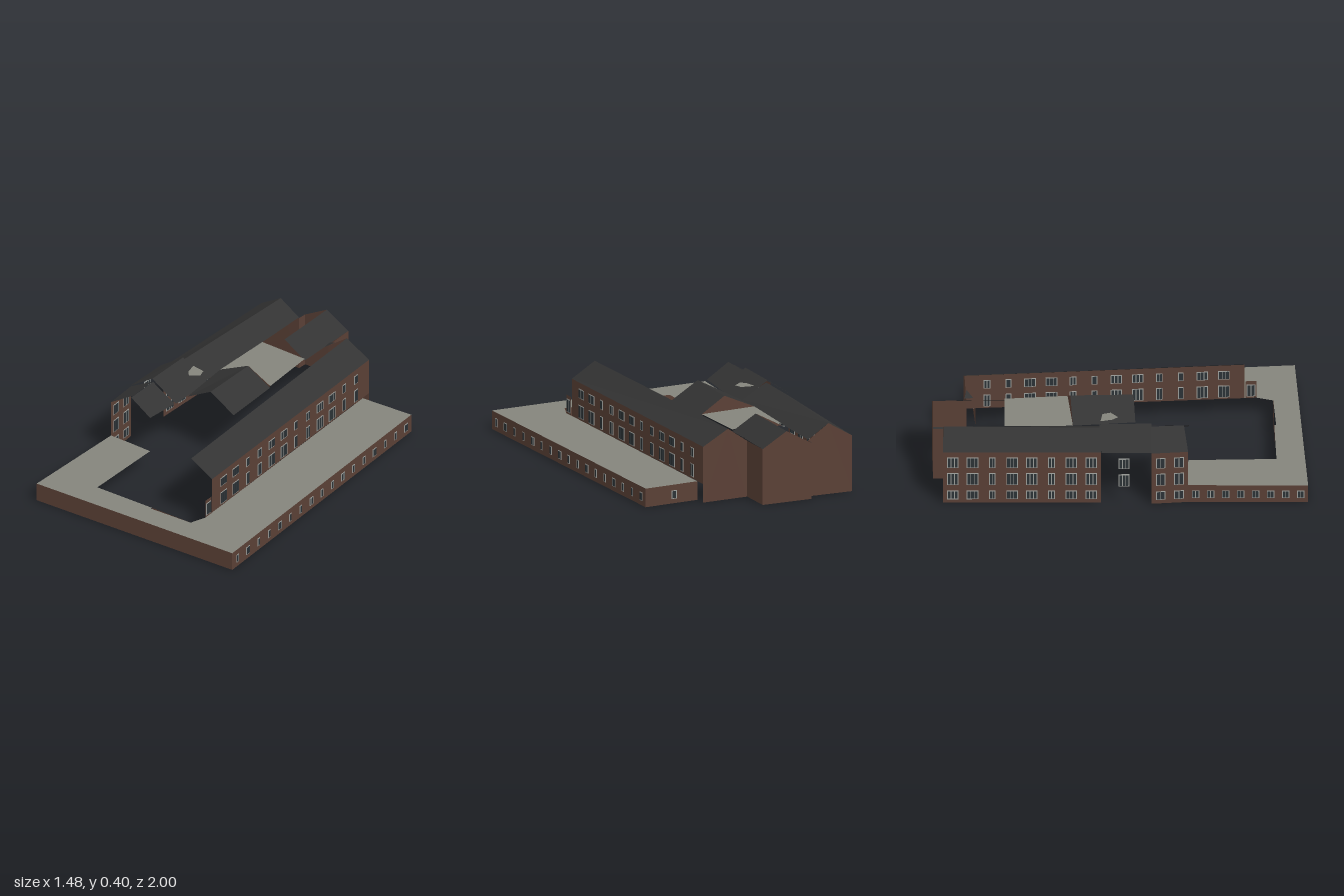
import * as THREE from 'three';

const mat = (name, color) => {
  const m = new THREE.MeshStandardMaterial({ color, side: THREE.DoubleSide });
  m.name = name;
  return m;
};

export function createModel() {
  const brick = mat('brick', 0x5a4036);
  const slate = mat('slate', 0x333333);
  const paving = mat('paving', 0x85857c);
  const glass = mat('glass', 0x2b3236);
  const frame = mat('window frame', 0x9c9e9a);
  const root = new THREE.Group();
  root.name = 'courtyardBuilding';

  // Flat convex face from corners [x, y, z]
  const face = (name, material, ...pts) => {
    const pos = [];
    for (let i = 1; i < pts.length - 1; i++) pos.push(...pts[0], ...pts[i], ...pts[i + 1]);
    const g = new THREE.BufferGeometry();
    g.setAttribute('position', new THREE.Float32BufferAttribute(pos, 3));
    g.computeVertexNormals();
    const m = new THREE.Mesh(g, material);
    m.name = name;
    root.add(m);
  };
  // Level slab outline from [x, z] corners
  const deck = (name, y, pts) => {
    const g = new THREE.ShapeGeometry(new THREE.Shape(pts.map(p => new THREE.Vector2(...p))));
    g.rotateX(Math.PI / 2);
    const m = new THREE.Mesh(g, paving);
    m.position.y = y;
    m.name = name;
    root.add(m);
  };
  // Upright wall between two plan points
  const wall = (name, a, b, y0, y1) => face(name, brick,
    [a[0], y0, a[1]], [b[0], y0, b[1]], [b[0], y1, b[1]], [a[0], y1, a[1]]);
  // Gable end wall with its peak over plan point p
  const gable = (name, a, p, b, y0, eave, peak) => face(name, brick,
    [p[0], peak, p[1]], [a[0], eave, a[1]], [a[0], y0, a[1]], [b[0], y0, b[1]], [b[0], eave, b[1]]);
  // Roof plane from ridge line to eave line
  const slope = (name, r0, r1, e0, e1, ridge = 0.38, eave = 0.3) => face(name, slate,
    [r0[0], ridge, r0[1]], [r1[0], ridge, r1[1]], [e1[0], eave, e1[1]], [e0[0], eave, e0[1]]);

  // Row of thin windows set along a wall: entries are [fraction, width]
  const unit = new THREE.BoxGeometry(1, 1, 1);
  const windows = (name, a, b, list, y, h) => {
    const row = new THREE.Group();
    row.name = name;
    const turn = -Math.atan2(b[1] - a[1], b[0] - a[0]);
    for (const [t, w] of list) {
      const win = new THREE.Group();
      win.name = 'window';
      const plate = (n, m, x, yy, sx, sy, sz) => {
        const p = new THREE.Mesh(unit, m);
        p.name = n;
        p.position.set(x, yy, 0);
        p.scale.set(sx, sy, sz);
        win.add(p);
      };
      plate('windowFrame', frame, 0, 0, w, h, 0.004);
      const panes = w > 0.05 ? 3 : w > 0.03 ? 2 : 1, pw = (w - 0.006) / panes;
      for (let i = 0; i < panes; i++)
        plate('pane', glass, (i - (panes - 1) / 2) * pw, 0, pw - 0.004, h - 0.008, 0.007);
      win.position.set(a[0] + (b[0] - a[0]) * t, y, a[1] + (b[1] - a[1]) * t);
      win.rotation.y = turn;
      row.add(win);
    }
    root.add(row);
  };
  const even = (n, ...widths) =>
    Array.from({ length: n }, (_, i) => [(i + 0.5) / n, widths[i % widths.length]]);

  // Plan points
  const backRight = [0.37, -0.88], frontRight = [0.74, 0.76], frontLeft = [-0.47, 1];
  const eastBack = [0.06, -0.875], eastFront = [0.37, 0.55];
  const westBack = [-0.74, -0.87], westMid = [-0.625, -0.06];
  const bayBack = [-0.64, -0.055], bayFront = [-0.6, 0.2], westFront = [-0.555, 0.385];

  // Podium terrace and its outer walls
  deck('terrace', 0.1, [backRight, frontRight, frontLeft, westFront, [-0.42, 0.365], [-0.3, 0.35],
    [-0.225, 0.8], [0.12, 0.74], [0.12, 0.75], [0.367, 0.7], [0.383, 0.61], eastFront, [0.075, -0.815]]);
  wall('terraceFrontWall', frontLeft, frontRight, 0, 0.1);
  wall('terraceEastWall', frontRight, backRight, 0, 0.1);
  wall('terraceBackWall', backRight, [0.075, -0.815], 0, 0.1);
  wall('terraceWestWall', westFront, frontLeft, 0, 0.1);
  wall('courtWall', [0.12, 0.74], [0.367, 0.7], 0, 0.1);
  windows('terraceEastWindows', frontRight, backRight, even(17, 0.022, 0.034, 0.022), 0.047, 0.045);
  windows('terraceWestWindows', westFront, frontLeft, even(8, 0.04), 0.047, 0.045);
  windows('terraceBackWindows', backRight, [0.075, -0.815], [[0.55, 0.03]], 0.047, 0.045);

  // East wing: single roof slope, long wall and back gable
  const eastRidgeBack = [-0.08, -0.85], eastRidgeFront = [0.24, 0.575];
  wall('eastWingWall', eastBack, eastFront, 0.1, 0.3);
  slope('eastWingRoof', eastRidgeBack, eastRidgeFront, eastBack, eastFront);
  gable('eastWingGable', eastBack, eastRidgeBack, [-0.19, -0.825], 0, 0.3, 0.38);
  face('eastRoofCorner', slate, [-0.195, 0.31, -0.835], [-0.145, 0.335, -0.83], [-0.18, 0.31, -0.79]);
  const cols = [0.06, 0.06, 0.03, 0.036].flatMap((w, i) => [0, 4, 8].map(k => [i + k, w]))
    .map(([i, w]) => [(0.445 + 0.88 - 0.11 + 0.105 - 0.1092 * i) / 1.425, w])
    .map(([t, w]) => [t - 0.0, w]);
  windows('eastLowerWindows', eastBack, eastFront, cols, 0.145, 0.07);
  windows('eastUpperWindows', eastBack, eastFront, cols, 0.242, 0.05);
  wall('eastAnnexWall', [0.372, 0.555], [0.383, 0.61], 0.1, 0.2);
  windows('eastAnnexWindow', [0.372, 0.555], [0.383, 0.61], [[0.5, 0.045]], 0.145, 0.07);

  // Middle back wing: one slope, gables and side wall
  const midRidge0 = [-0.36, -0.975], midRidge1 = [-0.295, -0.61];
  slope('middleWingRoof', midRidge0, midRidge1, [-0.225, -1], [-0.165, -0.63]);
  gable('middleBackGable', [-0.5, -0.955], midRidge0, [-0.225, -1], 0, 0.3, 0.38);
  gable('middleFrontGable', [-0.44, -0.59], midRidge1, [-0.165, -0.63], 0.3, 0.3, 0.38);
  wall('middleWingWall', [-0.225, -1], [-0.19, -0.825], 0, 0.3);
  wall('westReturnWall', [-0.5, -0.955], [-0.495, -0.905], 0, 0.3);
  face('middleRoofStrip', slate, [-0.507, 0.3, -0.953], [-0.497, 0.306, -0.956],
    [-0.488, 0.306, -0.9], [-0.497, 0.3, -0.9]);
  deck('roofTerrace', 0.31, [[-0.44, -0.59], [-0.165, -0.63], [-0.09, -0.31], [-0.39, -0.24]]);

  // West wing: back roof, gable and windowed wall
  const wr0 = [-0.61, -0.885], wr1 = [-0.505, -0.06];
  slope('westRoofOuter', wr0, wr1, westBack, westMid);
  slope('westRoofInner', wr0, wr1, [-0.495, -0.905], [-0.36, -0.07], 0.38, 0.305);
  gable('westGable', westBack, wr0, [-0.495, -0.905], 0, 0.3, 0.38);
  wall('westWall', westBack, westMid, 0, 0.3);
  wall('westFrontWall', bayFront, westFront, 0, 0.3);
  for (const [y, h] of [[0.047, 0.05], [0.142, 0.07], [0.24, 0.06]]) {
    windows('westWindows', westBack, westMid, even(8, 0.06, 0.06, 0.035), y, h);
    windows('westFrontWindows', bayFront, westFront, even(2, 0.05), y, h);
    if (y > 0.1) windows('bayWindows', bayBack, bayFront, [[0.45, 0.055]], y, h);
  }

  // West bay roof, slightly higher
  const br0 = [-0.505, -0.085], br1 = [-0.46, 0.18];
  slope('bayRoofOuter', br0, br1, bayBack, bayFront, 0.398, 0.305);
  slope('bayRoofInner', br0, br1, [-0.35, -0.11], [-0.305, 0.16], 0.398, 0.305);
  deck('roofPatch', 0.375, [[-0.435, -0.09], [-0.36, -0.09], [-0.34, -0.05], [-0.38, -0.005], [-0.41, -0.03]]);

  // West front roof
  slope('frontRoofOuter', [-0.46, 0.18], [-0.425, 0.345], bayFront, westFront);
  slope('frontRoofInner', [-0.455, 0.18], [-0.42, 0.37], [-0.315, 0.16], [-0.3, 0.35]);

  // Cross wing roof facing the court
  const cr0 = [-0.22, -0.277], cr1 = [-0.165, 0.045];
  slope('crossRoofInner', cr0, cr1, [-0.39, -0.24], [-0.31, 0.075], 0.39, 0.31);
  slope('crossRoofOuter', cr0, cr1, [-0.09, -0.31], [-0.02, 0.02], 0.39, 0.3);
  gable('crossBackGable', [-0.39, -0.24], cr0, [-0.09, -0.31], 0.305, 0.31, 0.39);

  return root;
}
